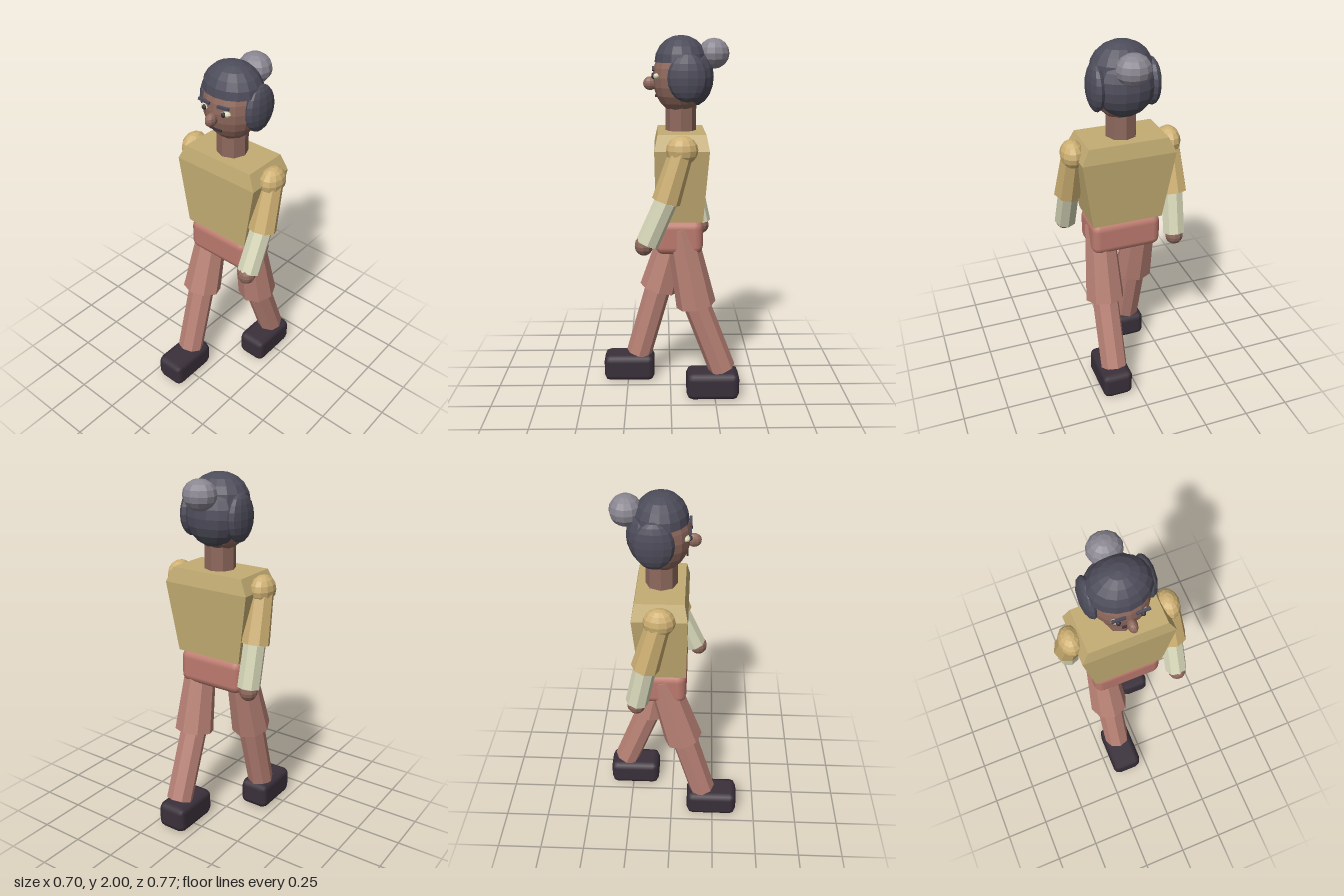
import * as THREE from 'three';
import { RoundedBoxGeometry } from 'three/addons/geometries/RoundedBoxGeometry.js';

const mat = (name, color, opts = {}) => {
  const m = new THREE.MeshStandardMaterial({ color, flatShading: true, ...opts });
  m.name = name;
  return m;
};

export function createModel() {
  const model = new THREE.Group();
  model.name = 'walkingFigure';
  const shirt = mat('shirt', 0xc4ad74);
  const sleeve = mat('sleeve', 0xceb073);
  const cuff = mat('forearmCloth', 0xd8d8ba);
  const trousers = mat('trousers', 0xb98276);
  const hipCloth = mat('hipCloth', 0xbc7a6e, { flatShading: false });
  const shoe = mat('shoe', 0x3a303a, { flatShading: false });
  const hair = mat('hair', 0x4d4c5a, { side: THREE.DoubleSide });
  const bunGrey = mat('bunGrey', 0x8a8691);
  const skin = mat('skin', 0x8f695d);
  const eyeWhite = mat('eyeWhite', 0xdad8b8);

  const add = (name, geometry, material, x = 0, y = 0, z = 0, parent = model) => {
    const mesh = new THREE.Mesh(geometry, material);
    mesh.name = name;
    mesh.position.set(x, y, z);
    parent.add(mesh);
    return mesh;
  };
  // Faceted ellipsoid with radii rx, ry, rz
  const ball = (name, material, [x, y, z], [rx, ry, rz], parent, w = 14, h = 10, theta = Math.PI) =>
    add(name, new THREE.SphereGeometry(1, w, h, 0, Math.PI * 2, 0, theta).scale(rx, ry, rz),
      material, x, y, z, parent);
  // Tapered eight-sided limb running from one joint to the next
  const limb = (name, material, from, to, rTop, rBottom, parent) => {
    const a = new THREE.Vector3(...from), b = new THREE.Vector3(...to);
    const axis = a.clone().sub(b);
    const mesh = add(name, new THREE.CylinderGeometry(rTop, rBottom, axis.length(), 8), material, 0, 0, 0, parent);
    mesh.position.copy(a).add(b).multiplyScalar(0.5);
    mesh.quaternion.setFromUnitVectors(new THREE.Vector3(0, 1, 0), axis.normalize());
    return mesh;
  };
  const group = (name) => {
    const g = new THREE.Group();
    g.name = name;
    model.add(g);
    return g;
  };

  // Torso: rectangular sections [y, half width, back z, front z]
  const sections = [[1.035, 0.195, -0.17, 0.08], [1.42, 0.255, -0.198, 0.087], [1.502, 0.215, -0.182, 0.07]];
  const pos = [], idx = [];
  for (const [y, w, back, front] of sections)
    pos.push(-w, y, front, w, y, front, w, y, back, -w, y, back);
  for (let s = 0; s < sections.length - 1; s++)
    for (let i = 0; i < 4; i++) {
      const a = s * 4 + i, b = s * 4 + (i + 1) % 4;
      idx.push(a, b, b + 4, a, b + 4, a + 4);
    }
  const t = (sections.length - 1) * 4;
  idx.push(0, 2, 1, 0, 3, 2, t, t + 1, t + 2, t, t + 2, t + 3);
  const torso = new THREE.BufferGeometry();
  torso.setAttribute('position', new THREE.Float32BufferAttribute(pos, 3));
  torso.setIndex(idx);
  torso.computeVertexNormals();
  add('torso', torso, shirt);
  add('hips', new RoundedBoxGeometry(0.39, 0.19, 0.255, 2, 0.045), hipCloth, 0, 0.943, -0.045);

  // Legs in mid stride: left back, right forward
  const legs = [
    { name: 'leftLeg', x: 0.125, knee: [0.55, -0.14], ankle: [0.165, -0.29], foot: -0.237 },
    { name: 'rightLeg', x: -0.125, knee: [0.56, 0.068], ankle: [0.155, 0.185], foot: 0.242 },
  ];
  for (const { name, x, knee, ankle, foot } of legs) {
    const g = group(name);
    limb('thigh', trousers, [x, 0.99, -0.053], [x, ...knee], 0.08, 0.11, g);
    limb('shin', trousers, [x, knee[0] + 0.01, knee[1]], [x, ...ankle], 0.075, 0.075, g);
    add('shoe', new RoundedBoxGeometry(0.176, 0.155, 0.296, 1, 0.036), shoe, x, 0.0775, foot, g);
  }

  // Arms swing opposite to the legs
  const arms = [
    { name: 'leftArm', s: 1, elbow: [1.165, 0.027], wrist: [0.94, 0.125], hand: [0.93, 0.143] },
    { name: 'rightArm', s: -1, elbow: [1.155, -0.13], wrist: [0.925, -0.178], hand: [0.907, -0.182] },
  ];
  for (const { name, s, elbow, wrist, hand } of arms) {
    const g = group(name);
    ball('shoulder', sleeve, [s * 0.266, 1.43, -0.055], [0.063, 0.076, 0.083], g, 12, 8);
    limb('upperArm', sleeve, [s * 0.262, 1.43, -0.055], [s * 0.274, ...elbow], 0.062, 0.075, g);
    limb('forearm', cuff, [s * 0.268, ...elbow], [s * 0.266, ...wrist], 0.06, 0.062, g);
    ball('hand', skin, [s * 0.267, ...hand], [0.05, 0.054, 0.05], g, 10, 8);
  }

  // Neck and head
  add('neck', new THREE.CylinderGeometry(0.083, 0.083, 0.18, 8), skin, 0, 1.57, -0.055);
  const head = group('head');
  ball('skull', skin, [0, 1.78, -0.05], [0.15, 0.19, 0.145], head, 16, 12);
  ball('nose', skin, [0, 1.75, 0.108], [0.026, 0.036, 0.04], head, 10, 8);
  add('mouth', new THREE.BoxGeometry(0.075, 0.01, 0.009), shoe, 0, 1.685, 0.077, head);
  for (const s of [-1, 1]) {
    ball('eye', eyeWhite, [s * 0.065, 1.79, 0.074], [0.028, 0.016, 0.018], head, 10, 6);
    ball('pupil', shoe, [s * 0.062, 1.79, 0.09], [0.012, 0.014, 0.012], head, 8, 6);
    const brow = add('eyebrow', new THREE.BoxGeometry(0.07, 0.013, 0.014), hair, s * 0.06, 1.826, 0.091, head);
    brow.rotation.z = s * 0.1;
    // Side hair over the ears
    ball('sideHair', hair, [s * 0.145, 1.785, -0.085], [0.045, 0.124, 0.104], head, 12, 10);
  }

  // Hair cap, back hair and bun
  ball('hairCap', hair, [0, 1.86, -0.055], [0.163, 0.14, 0.14], head, 16, 5, Math.PI / 2);
  ball('backHair', hair, [0, 1.785, -0.12], [0.155, 0.155, 0.11], head, 14, 10);
  ball('bun', bunGrey, [0, 1.905, -0.228], [0.09, 0.08, 0.083], head, 12, 8);
  return model;
}
